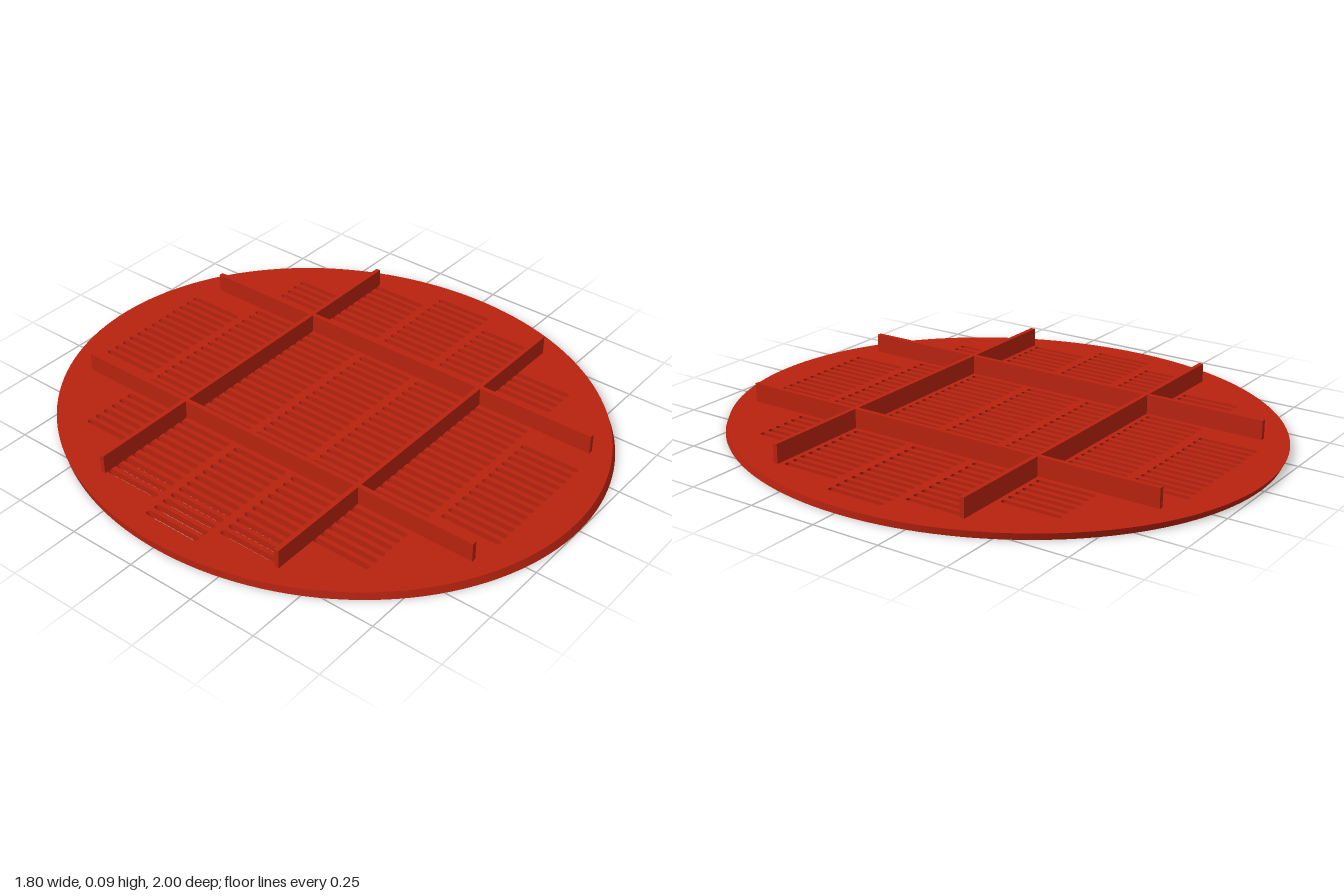
import * as THREE from 'three';

const PLATE_H = 0.024, TOP = 0.093;
const PITCH = 0.0383, ROW_PITCH = 0.249;
const SLOT_W = 0.021, SLOT_L = 0.222, SHEAR = 0.012;

// Rounded-end slot outline centred on (cx, cy)
function slotPath(cx, cy) {
  const pts = [], r = SLOT_W / 2, half = SLOT_L / 2 - r, n = 6;
  for (const end of [1, -1]) {
    for (let i = 0; i <= n; i++) {
      const a = (i / n) * Math.PI;
      pts.push(new THREE.Vector2(cx + end * r * Math.cos(a), cy + end * (half + r * Math.sin(a))));
    }
  }
  pts.push(pts[0].clone());
  return new THREE.Path().setFromPoints(pts);
}

export function createModel() {
  const group = new THREE.Group();
  const red = new THREE.MeshStandardMaterial({ color: 0xb8220e });
  red.name = 'red';

  // Oval plate pierced by seven rows of slots
  const oval = new THREE.Shape();
  oval.absellipse(0, 0, 0.9, 0.994, 0, Math.PI * 2);
  const reach = [21, 19, 15, 6]; // outermost slot index, by distance from the middle row
  for (let row = -3; row <= 3; row++) {
    const last = reach[Math.abs(row)];
    for (let k = -last; k <= last; k++) {
      if (Math.abs(k) === 9) continue; // solid strip beneath the long ribs
      oval.holes.push(slotPath(k * PITCH, row * ROW_PITCH));
    }
  }
  const plateGeo = new THREE.ExtrudeGeometry(oval, { depth: PLATE_H, bevelEnabled: false, curveSegments: 72 });
  plateGeo.rotateX(-Math.PI / 2);

  // Lean the plate's walls slightly towards the back
  const pos = plateGeo.attributes.position;
  for (let i = 0; i < pos.count; i++) {
    pos.setZ(i, pos.getZ(i) + SHEAR * (0.5 - pos.getY(i) / PLATE_H));
  }
  plateGeo.computeVertexNormals();
  const plate = new THREE.Mesh(plateGeo, red);
  plate.name = 'slottedPlate';
  group.add(plate);

  // Crossing stiffening ribs
  const ribH = TOP - PLATE_H + 0.002;
  const addRib = (name, w, d, x, z) => {
    const rib = new THREE.Mesh(new THREE.BoxGeometry(w, ribH, d), red);
    rib.name = name;
    rib.position.set(x, TOP - ribH / 2, z);
    group.add(rib);
  };
  for (const s of [1, -1]) {
    addRib(s > 0 ? 'leftRib' : 'rightRib', 0.017, 1.654, s * 0.345, 0.004);
    addRib(s > 0 ? 'frontRib' : 'backRib', 1.497, 0.017, 0, s * 0.374 + 0.004);
  }
  return group;
}
